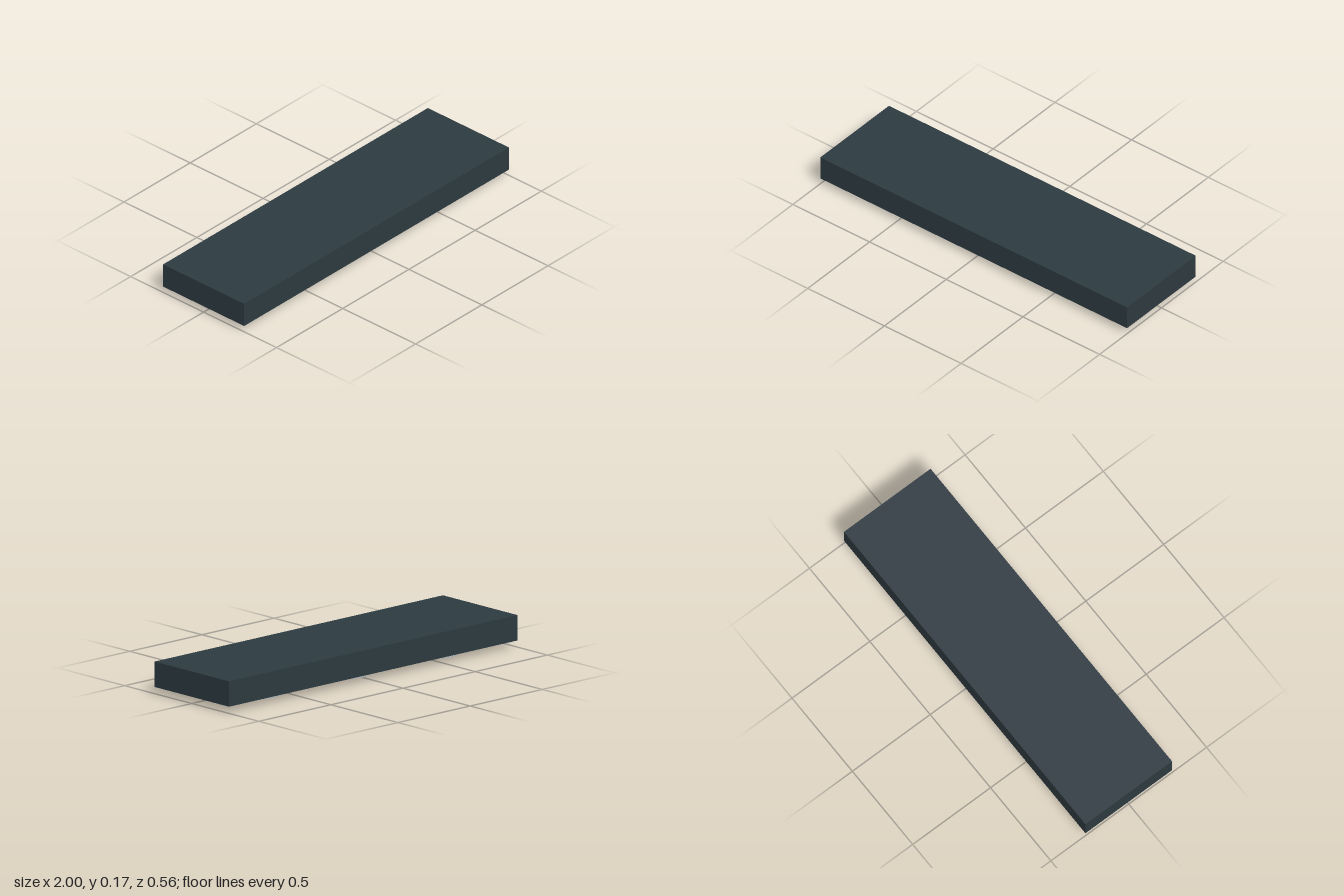
import * as THREE from 'three';

export function createModel() {
  const model = new THREE.Group();
  model.name = 'footedSlab';

  const darkSlate = new THREE.MeshStandardMaterial({ color: 0x2d3a40, flatShading: true });
  darkSlate.name = 'dark slate';
  const paleGrey = new THREE.MeshStandardMaterial({ color: 0xb3b8bb, flatShading: true });
  paleGrey.name = 'pale grey';

  const footHeight = 0.035;
  const slabHeight = 0.133;

  // Long flat slab
  const slab = new THREE.Mesh(new THREE.BoxGeometry(2, slabHeight, 0.556), darkSlate);
  slab.name = 'slab';
  slab.position.y = footHeight + slabHeight / 2;
  model.add(slab);

  // Three twelve-sided discs under the slab, sunk slightly into it
  const sink = 0.01;
  const discGeometry = new THREE.CylinderGeometry(0.2, 0.2, footHeight + sink, 12);
  ['rightDisc', 'middleDisc', 'leftDisc'].forEach((name, i) => {
    const disc = new THREE.Mesh(discGeometry, paleGrey);
    disc.name = name;
    disc.position.set((i - 1) * 0.611, (footHeight + sink) / 2, 0);
    model.add(disc);
  });

  return model;
}
